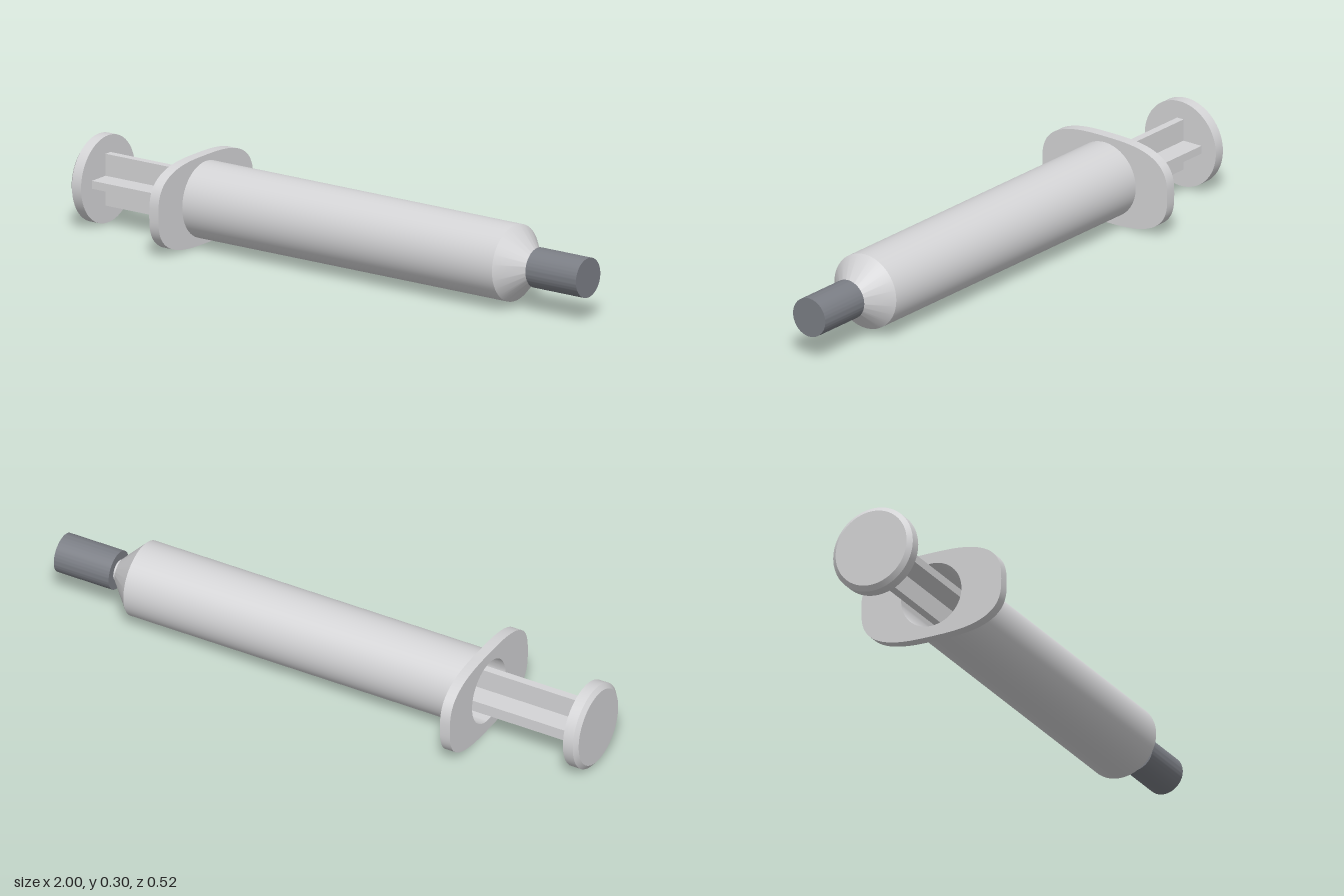
import * as THREE from 'three';
import { toCreasedNormals } from 'three/addons/utils/BufferGeometryUtils.js';

const AXIS_Y = 0.15;

export function createModel() {
  const model = new THREE.Group();
  model.name = 'syringe';
  const plastic = new THREE.MeshStandardMaterial({ color: 0xd4d4d6 });
  plastic.name = 'light grey plastic';
  const dark = new THREE.MeshStandardMaterial({ color: 0x7b7e85 });
  dark.name = 'dark grey tip';

  function add(name, geometry, material) {
    const mesh = new THREE.Mesh(geometry, material);
    mesh.name = name;
    mesh.position.y = AXIS_Y;
    model.add(mesh);
  }

  // Turned part along x, from [x, radius] pairs
  function turned(name, profile, material) {
    const points = profile.map(([x, r]) => new THREE.Vector2(r, x));
    const geometry = new THREE.LatheGeometry(points, 72).rotateZ(-Math.PI / 2);
    add(name, toCreasedNormals(geometry, 0.4), material);
  }

  // Hollow barrel: outside wall, shoulder cone, then back along the bore
  turned('barrel', [
    [-0.57, 0.112], [-0.57, 0.129], [0.705, 0.129], [0.785, 0.045], [0.785, 0],
    [0.7, 0.03], [0.68, 0.112], [-0.57, 0.112],
  ], plastic);

  // Nozzle neck with small ridges, and the dark tip
  turned('neck', [
    [0.76, 0], [0.76, 0.036], [0.775, 0.036], [0.775, 0.042], [0.785, 0.042],
    [0.785, 0.036], [0.8, 0.036], [0.8, 0],
  ], plastic);
  turned('tip', [[0.795, 0], [0.795, 0.067], [1, 0.067], [1, 0]], dark);

  // Finger flange: rounded oval plate with the bore cut out
  const outline = [];
  for (let i = 0; i < 96; i++) {
    const a = (i / 96) * Math.PI * 2;
    const c = Math.cos(a), s = Math.sin(a), p = 2 / 2.9;
    outline.push(new THREE.Vector2(
      0.26 * Math.sign(c) * Math.abs(c) ** p,
      0.15 * Math.sign(s) * Math.abs(s) ** p));
  }
  const plate = new THREE.Shape(outline);
  plate.holes.push(new THREE.Path().absarc(0, 0, 0.112, 0, Math.PI * 2, true));
  const flange = new THREE.ExtrudeGeometry(plate, { depth: 0.037, bevelEnabled: false, curveSegments: 36 });
  flange.rotateY(Math.PI / 2).translate(-0.59, 0, 0);
  add('fingerFlange', toCreasedNormals(flange, 0.5), plastic);

  // Plunger: thumb disc, cross-shaped rod and piston inside the barrel
  turned('thumbDisc', [
    [-1, 0], [-1, 0.132], [-0.987, 0.148], [-0.95, 0.148], [-0.95, 0],
  ], plastic);
  const h = 0.088, t = 0.0135;
  const cross = new THREE.Shape([
    [h, -t], [h, t], [t, t], [t, h], [-t, h], [-t, t],
    [-h, t], [-h, -t], [-t, -t], [-t, -h], [t, -h], [t, -t],
  ].map(([x, y]) => new THREE.Vector2(x, y)));
  const rod = new THREE.ExtrudeGeometry(cross, { depth: 1.35, bevelEnabled: false });
  rod.rotateY(Math.PI / 2).translate(-0.955, 0, 0);
  add('plungerRod', rod, plastic);
  turned('piston', [[0.39, 0], [0.39, 0.111], [0.5, 0.111], [0.5, 0]], plastic);

  return model;
}
